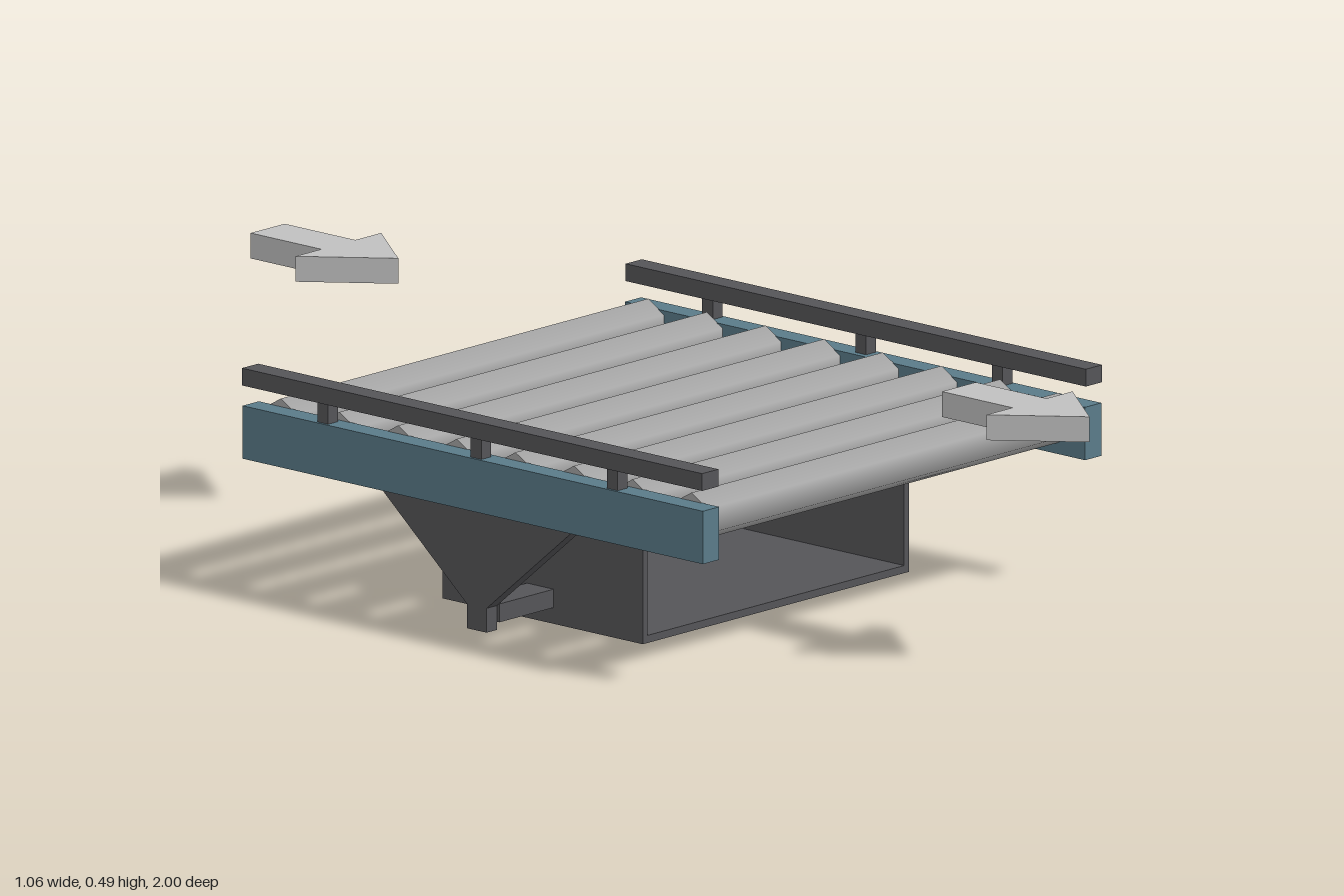
import * as THREE from 'three';

const material = (name, color) => {
  const m = new THREE.MeshStandardMaterial({ color });
  m.name = name;
  return m;
};

export function createModel() {
  const model = new THREE.Group();
  model.name = 'rollerConveyor';
  const steel = material('darkSteel', 0x555558);
  const blue = material('blueRail', 0x5a7b89);
  const silver = material('rollerGrey', 0xa6a6a6);
  const pale = material('arrowGrey', 0xc0c0c0);

  const add = (name, geometry, mat, parent = model) => {
    const mesh = new THREE.Mesh(geometry, mat);
    mesh.name = name;
    parent.add(mesh);
    return mesh;
  };
  // Box given by its limits on each axis
  const box = (name, [x0, x1], [y0, y1], [z0, z1], mat, parent) =>
    add(name, new THREE.BoxGeometry(x1 - x0, y1 - y0, z1 - z0)
      .translate((x0 + x1) / 2, (y0 + y1) / 2, (z0 + z1) / 2), mat, parent);
  const polygon = (points) => new THREE.Shape(points.map(([x, y]) => new THREE.Vector2(x, y)));
  const extrude = (shape, depth) => new THREE.ExtrudeGeometry(shape, { depth, bevelEnabled: false });
  const span = (a, b) => (a < b ? [a, b] : [b, a]);

  const length = [-0.576, 0.544];
  const midZ = -0.01;

  // Six-sided rollers with a ridge on top
  for (let i = 0; i < 8; i++) {
    const roller = new THREE.CylinderGeometry(0.046, 0.046, 0.974, 6, 1, false, Math.PI / 2);
    roller.rotateZ(Math.PI / 2);
    add('roller', roller, silver).position.set(0, 0.302, 0.478 - i * 0.1427);
  }

  // Open duct running front to back
  const duct = polygon([[-0.353, 0], [0.353, 0], [0.353, 0.252], [-0.353, 0.252]]);
  duct.holes.push(polygon([[-0.34, 0.014], [-0.34, 0.239], [0.34, 0.239], [0.34, 0.014]]));
  add('duct', extrude(duct, 0.487).translate(0, 0, -0.25), steel);

  // Side frames, mirrored
  for (const s of [1, -1]) {
    const side = new THREE.Group();
    side.name = s > 0 ? 'leftSide' : 'rightSide';
    model.add(side);
    box('sideRail', span(s * 0.485, s * 0.528), [0.235, 0.333], length, blue, side);
    box('guardRail', span(s * 0.487, s * 0.53), [0.371, 0.403], length, steel, side);
    for (const z of [0.319, -0.013, -0.386]) {
      box('guardPost', span(s * 0.497, s * 0.523), [0.333, 0.371], [z - 0.013, z + 0.013], steel, side);
    }
    // Tapered support plate below the rail
    const gusset = polygon([
      [-0.024, 0.015], [0.024, 0.015], [0.024, 0.06],
      [0.23, 0.235], [-0.23, 0.235], [-0.024, 0.06],
    ]);
    const plate = extrude(gusset, 0.028).translate(0, 0, -0.014).rotateY(-Math.PI / 2);
    add('supportPlate', plate, steel, side).position.set(s * 0.51, 0, midZ);
    // Arms joining the plate to the duct
    for (const [y0, y1] of [[0.157, 0.192], [0.03, 0.064]]) {
      box('supportArm', span(s * 0.353, s * 0.497), [y0, y1], [-0.045, 0.02], steel, side);
    }
  }

  // Small dark slot on the left rail
  box('railSlot', [0.528, 0.53], [0.235, 0.275], [-0.096, -0.075], steel);

  // Direction arrows before and after the rollers
  const arrow = polygon([
    [-0.045, 0], [0.045, 0], [0.045, 0.172], [0.114, 0.172],
    [0, 0.318], [-0.114, 0.172], [-0.045, 0.172],
  ]);
  for (const [name, z] of [['entryArrow', -1], ['exitArrow', 0.682]]) {
    add(name, extrude(arrow, 0.047).rotateX(Math.PI / 2), pale).position.set(0, 0.487, z);
  }
  return model;
}
